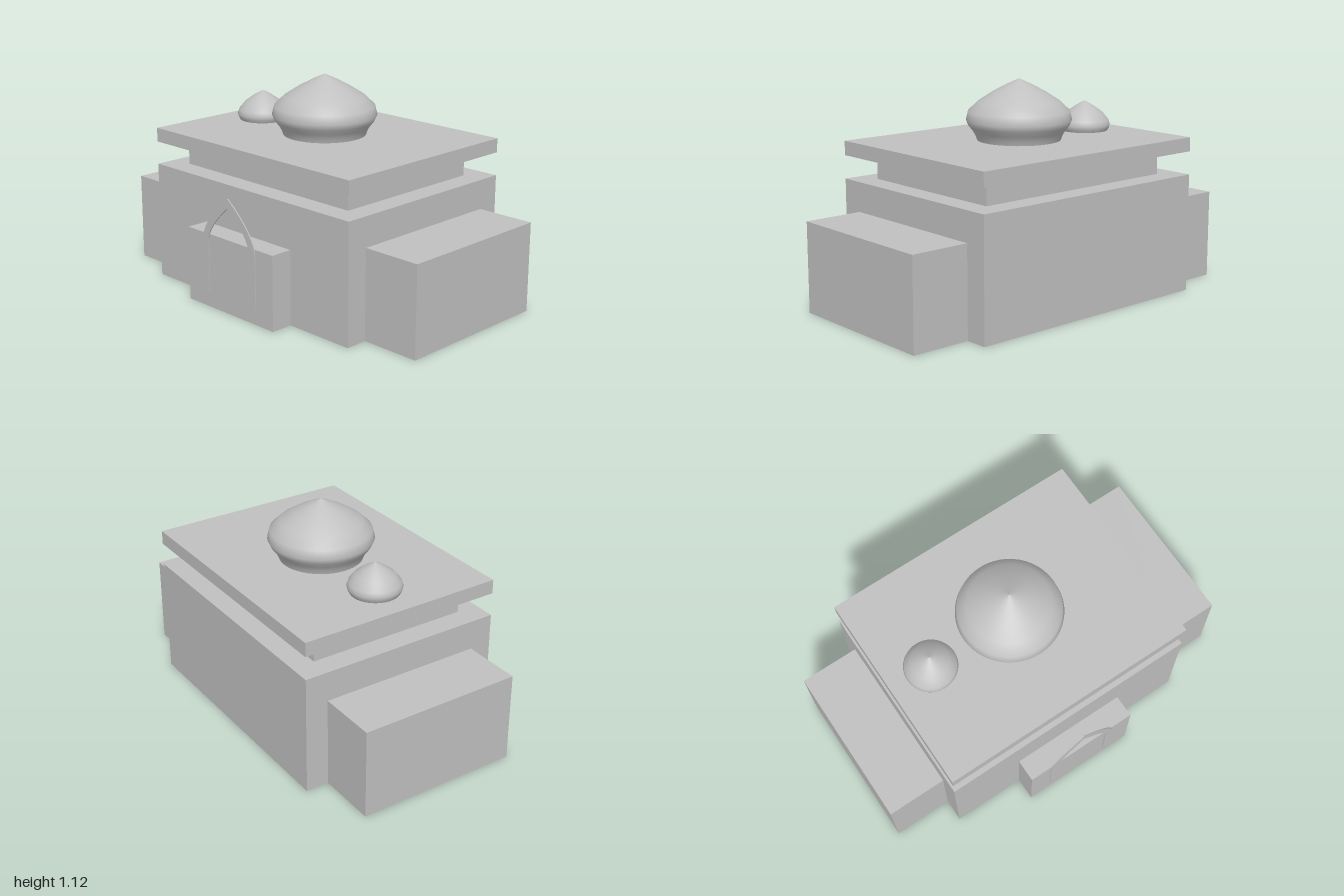
import * as THREE from 'three';

export function createModel() {
  const model = new THREE.Group();
  const stone = new THREE.MeshStandardMaterial({ color: 0xc0c0c0 });
  stone.name = 'grey stone';

  const add = (name, geometry) => {
    const mesh = new THREE.Mesh(geometry, stone);
    mesh.name = name;
    model.add(mesh);
    return mesh;
  };

  // Box given by its limits on each axis
  const block = (name, [x0, x1], [y0, y1], [z0, z1]) =>
    add(name, new THREE.BoxGeometry(x1 - x0, y1 - y0, z1 - z0))
      .position.set((x0 + x1) / 2, (y0 + y1) / 2, (z0 + z1) / 2);

  // Hall, side wings and entrance porch
  block('mainHall', [-0.69, 0.69], [0, 0.615], [-0.6, 0.478]);
  block('leftWing', [0.69, 1], [0, 0.462], [-0.482, 0.362]);
  block('rightWing', [-1, -0.69], [0, 0.462], [-0.482, 0.362]);
  block('porch', [-0.308, 0.308], [0, 0.385], [0.478, 0.595]);

  // Upper storey and the roof slab hovering just above it
  block('upperStorey', [-0.575, 0.575], [0.615, 0.713], [-0.482, 0.362]);
  block('roofSlab', [-0.69, 0.69], [0.735, 0.808], [-0.6, 0.478]);

  // Domes: profiles of radius and height above the roof
  const dome = (name, x, profile) =>
    add(name, new THREE.LatheGeometry(profile.map(([r, y]) => new THREE.Vector2(r, y)), 48))
      .position.set(x, 0.808, -0.062);
  dome('mainDome', 0, [
    [0.213, 0], [0.22, 0.022], [0.234, 0.046], [0.255, 0.073], [0.268, 0.102],
    [0.257, 0.147], [0.208, 0.194], [0.132, 0.243], [0.062, 0.28], [0, 0.309],
  ]);
  dome('smallDome', -0.463, [
    [0.123, 0], [0.131, 0.015], [0.135, 0.031], [0.128, 0.054], [0.096, 0.094],
    [0.05, 0.127], [0.022, 0.143], [0, 0.155],
  ]);

  // Thin pointed arch frame in front of the porch
  const frame = new THREE.Shape();
  frame.moveTo(-0.19, 0.08);
  frame.lineTo(-0.19, 0.35);
  frame.quadraticCurveTo(-0.19, 0.45, 0, 0.597);
  frame.quadraticCurveTo(0.19, 0.45, 0.19, 0.35);
  frame.lineTo(0.19, 0.08);
  frame.lineTo(0.15, 0.08);
  frame.lineTo(0.15, 0.35);
  frame.quadraticCurveTo(0.15, 0.425, 0, 0.55);
  frame.quadraticCurveTo(-0.15, 0.425, -0.15, 0.35);
  frame.lineTo(-0.15, 0.08);
  frame.closePath();
  add('entranceArch', new THREE.ExtrudeGeometry(frame, {
    depth: 0.006, bevelEnabled: false, curveSegments: 10,
  })).position.z = 0.594;

  return model;
}
